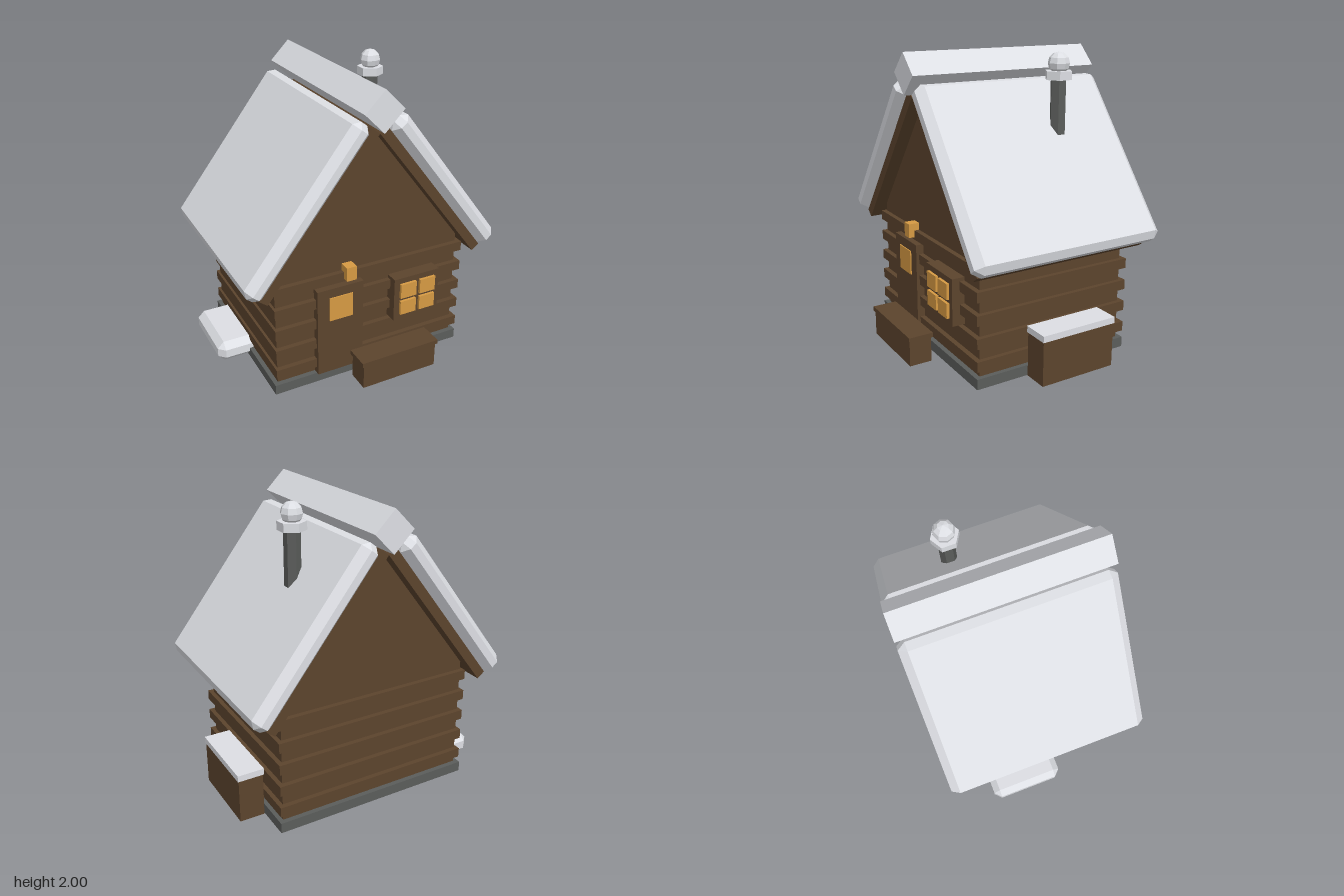
import * as THREE from 'three';
import { ConvexGeometry } from 'three/addons/geometries/ConvexGeometry.js';

const material = (name, color) => {
  const m = new THREE.MeshStandardMaterial({ color, flatShading: true });
  m.name = name;
  return m;
};

// Box with every edge and corner cut off, c = cut along each axis
function chamferedBox(w, h, d, [cx, cy, cz]) {
  const points = [];
  const [x, y, z] = [w / 2, h / 2, d / 2];
  for (const i of [-1, 1]) for (const j of [-1, 1]) for (const k of [-1, 1]) {
    points.push(
      new THREE.Vector3(i * x, j * (y - cy), k * (z - cz)),
      new THREE.Vector3(i * (x - cx), j * y, k * (z - cz)),
      new THREE.Vector3(i * (x - cx), j * (y - cy), k * z));
  }
  return new ConvexGeometry(points);
}

export function createModel() {
  const wood = material('wood', 0x5c442d);
  const snow = material('snow', 0xdddfe4);
  const stone = material('darkGrey', 0x5b5d5b);
  const glow = material('amberGlow', 0xd69a43);

  const model = new THREE.Group();
  model.name = 'cabin';
  const add = (name, geometry, mat, x = 0, y = 0, z = 0) => {
    const mesh = new THREE.Mesh(geometry, mat);
    mesh.name = name;
    mesh.position.set(x, y, z);
    model.add(mesh);
    return mesh;
  };
  // Box given by its extents on each axis
  const block = (name, mat, [x0, x1], [y0, y1], [z0, z1]) =>
    add(name, new THREE.BoxGeometry(x1 - x0, y1 - y0, z1 - z0), mat,
      (x0 + x1) / 2, (y0 + y1) / 2, (z0 + z1) / 2);

  const cx = 0.005, cz = -0.09; // centre of the house
  const apex = 1.715;
  const slope = Math.atan2(0.975, 0.757);

  // Foundation
  block('foundation', stone, [cx - 0.705, cx + 0.705], [0, 0.07], [-0.663, 0.484]);

  // Walls with gables
  const eave = apex - 0.675 * Math.tan(slope);
  const profile = new THREE.Shape([[-0.675, 0.07], [0.675, 0.07], [0.675, eave], [0, apex], [-0.675, eave]]
    .map(p => new THREE.Vector2(...p)));
  add('walls', new THREE.ExtrudeGeometry(profile, { depth: 1.08, bevelEnabled: false }), wood, cx, 0, -0.63);

  // Projecting log courses
  for (let i = 0; i < 5; i++) {
    const y = 0.118 + i * 0.152;
    block('logCourse', wood, [cx - 0.692, cx + 0.705], [y, y + 0.067], [-0.663, 0.484]);
  }

  // Roof boards and their snow cover, one pair per side
  for (const s of [-1, 1]) {
    const onRoof = (name, geometry, mat, along, height) => {
      const x = along * Math.cos(slope) + height * Math.sin(slope);
      const y = apex - along * Math.sin(slope) + height * Math.cos(slope);
      add(name, geometry, mat, cx + s * x, y, cz).rotation.z = -s * slope;
    };
    onRoof('roofBoard', new THREE.BoxGeometry(1.234, 0.064, 1.266), wood, 0.617, 0.032);
    onRoof('roofSnow', chamferedBox(1.245, 0.14, 1.373, [0.04, 0.045, 0.053]), snow, 0.627, 0.134);
  }

  // Snow along the ridge
  add('ridgeSnow', new THREE.BoxGeometry(0.19, 0.19, 1.373), snow, cx, 1.865, cz).rotation.z = Math.PI / 4;

  // Chimney pipe with snowy cap
  add('chimneyPipe', new THREE.CylinderGeometry(0.053, 0.053, 0.5, 6), stone, 0.407, 1.59, -0.293);
  add('chimneyCap', new THREE.CylinderGeometry(0.091, 0.091, 0.055, 6), snow, 0.407, 1.847, -0.293);
  add('chimneySnowBall', new THREE.SphereGeometry(0.071, 8, 6), snow, 0.407, 1.922, -0.293);

  // Door with a lit pane, and the lamp above it
  block('door', wood, [-0.4, -0.068], [0.07, 0.708], [0.44, 0.505]);
  block('doorPane', glow, [-0.317, -0.148], [0.473, 0.643], [0.505, 0.513]);
  block('doorLamp', glow, [-0.2, -0.13], [0.745, 0.842], [0.45, 0.525]);

  // Window: frame and four lit panes
  block('windowFrame', wood, [0.15, 0.498], [0.35, 0.665], [0.44, 0.538]);
  for (const x of [[0.192, 0.313], [0.34, 0.46]]) {
    for (const y of [[0.392, 0.494], [0.519, 0.625]]) block('windowPane', glow, x, y, [0.535, 0.557]);
  }

  // Bench chest in front of the door
  block('benchBody', wood, [-0.2, 0.345], [0.07, 0.24], [0.612, 0.762]);
  block('benchLid', wood, [-0.213, 0.358], [0.24, 0.27], [0.604, 0.77]);

  // Wood box beside the wall, topped with snow
  block('woodBox', wood, [0.715, 0.883], [0, 0.3], [-0.427, 0.117]);
  block('woodBoxSnow', snow, [0.708, 0.889], [0.3, 0.343], [-0.432, 0.122]);

  // Snow drift on the other side
  add('snowDrift', chamferedBox(0.3, 0.15, 0.52, [0.045, 0.045, 0.045]), snow, -0.767, 0.075, -0.24);

  return model;
}
